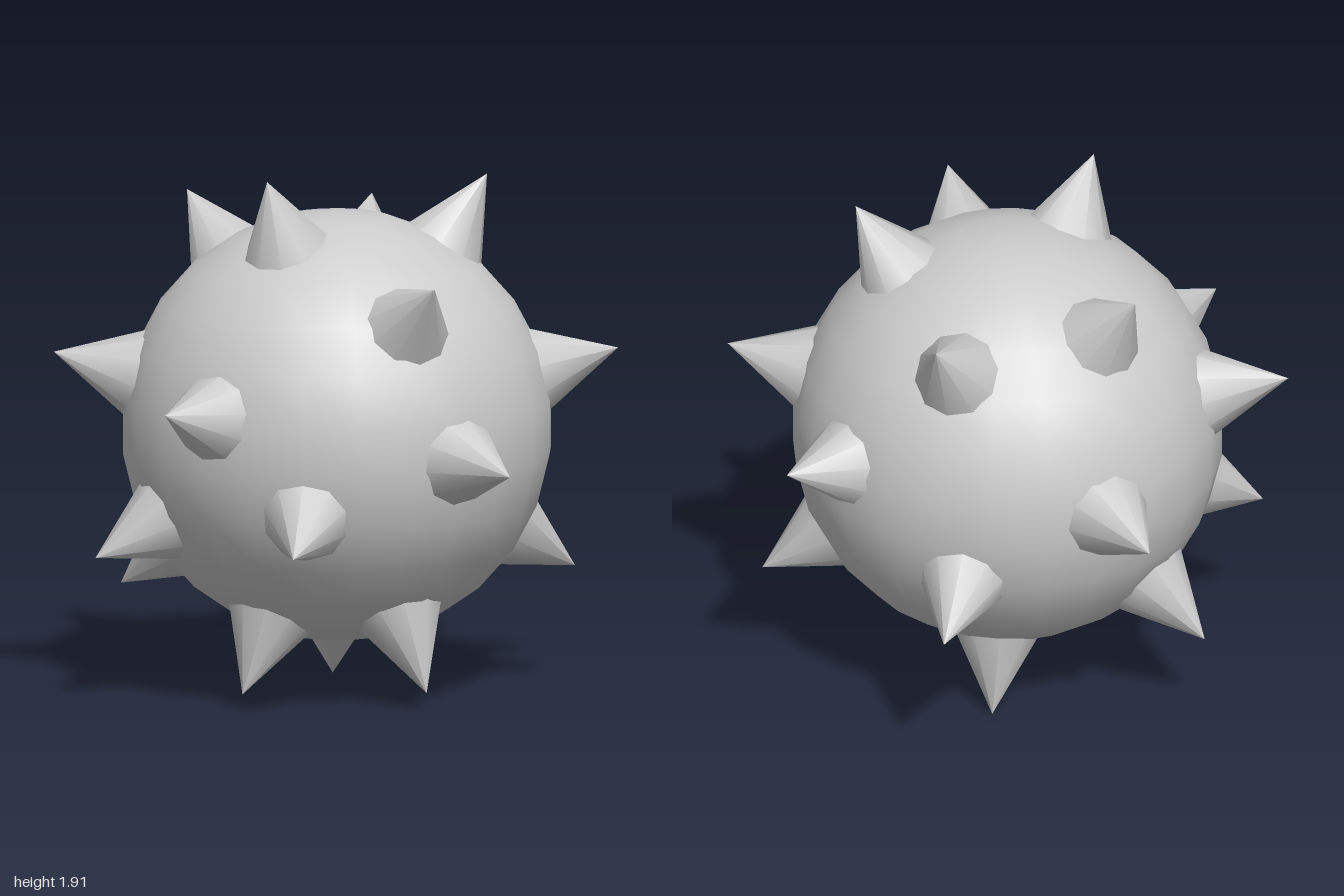
import * as THREE from 'three';

const CENTRE_Y = 0.98;
const RADIUS = 0.78;
const BASE_DEPTH = 0.72; // cone bases are sunk inside the ball

// Spike tips as x, y, z
const TIPS = [
  [-0.19, 1.92, 0.40], [0.52, 1.88, -0.17], [-0.60, 1.77, -0.33],
  [0.00, 1.70, -0.79], [0.47, 1.59, 0.70], [0.99, 1.25, -0.22],
  [-1.00, 1.25, 0.20], [-0.48, 1.14, 0.91], [0.55, 1.12, -0.84],
  [-0.79, 0.98, -0.72], [0.75, 0.92, 0.74], [0.00, 0.64, 0.99],
  [-0.10, 0.62, -0.99], [-0.80, 0.55, 0.50], [0.81, 0.43, -0.36],
  [-0.82, 0.35, -0.20], [0.39, 0.07, 0.39], [-0.28, 0.05, 0.40],
  [-0.08, 0.01, -0.40],
];

export function createModel() {
  const group = new THREE.Group();
  group.name = 'spikedBall';
  const material = new THREE.MeshStandardMaterial({ color: 0xcccccc });

  // Round body
  const ball = new THREE.Mesh(new THREE.SphereGeometry(RADIUS, 24, 13), material);
  ball.name = 'ball';
  ball.position.y = CENTRE_Y;
  group.add(ball);

  // Spikes pointing straight out from the centre of the ball
  const up = new THREE.Vector3(0, 1, 0);
  TIPS.forEach(([x, y, z], i) => {
    const direction = new THREE.Vector3(x, y - CENTRE_Y, z);
    const reach = direction.length();
    direction.normalize();
    const height = reach - BASE_DEPTH;
    const spike = new THREE.Mesh(new THREE.ConeGeometry(0.175, height, 10), material);
    spike.name = `spike${i + 1}`;
    spike.quaternion.setFromUnitVectors(up, direction);
    spike.position.copy(direction).multiplyScalar(BASE_DEPTH + height / 2);
    spike.position.y += CENTRE_Y;
    group.add(spike);
  });

  return group;
}
